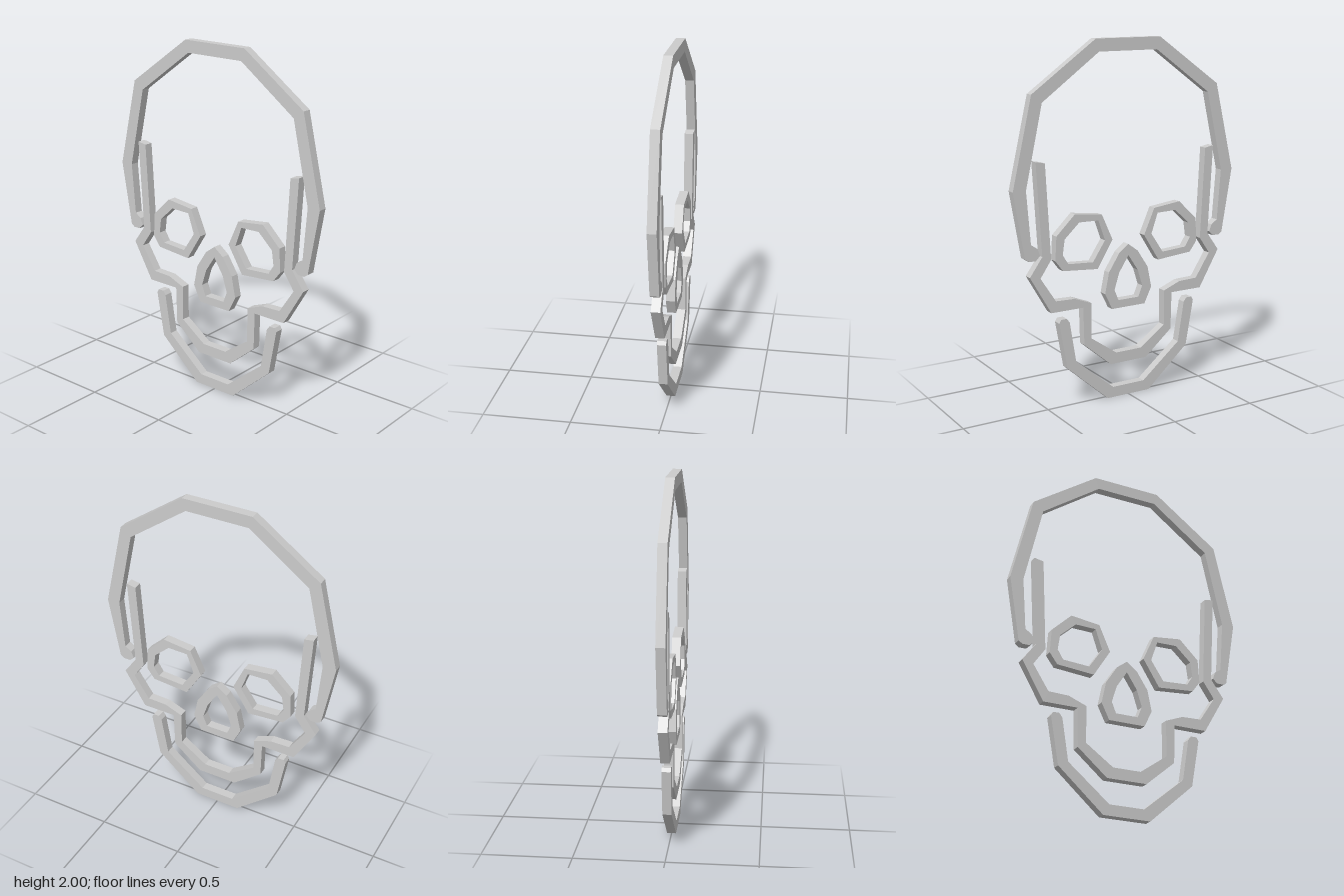
import * as THREE from 'three';

const DEPTH = 0.05;
const material = new THREE.MeshStandardMaterial({ color: 0xcccccc, flatShading: true });

const toPoints = (pairs) => pairs.map(([x, y]) => new THREE.Vector2(x, y));
const mirror = (pairs) => pairs.map(([x, y]) => [-x, y]).reverse();
const symmetric = (half) => [...half, ...mirror(half)];

// Flat plate of even thickness, centred on z = 0
function plate(name, outline, hole) {
  const shape = new THREE.Shape(toPoints(outline));
  if (hole) shape.holes.push(new THREE.Path(toPoints(hole)));
  const geometry = new THREE.ExtrudeGeometry(shape, { depth: DEPTH, bevelEnabled: false });
  geometry.translate(0, 0, -DEPTH / 2);
  const mesh = new THREE.Mesh(geometry, material);
  mesh.name = name;
  return mesh;
}

export function createModel() {
  const group = new THREE.Group();
  group.name = 'skullOutline';

  // Cranium arch: outer edge, hooked end, then back along the inner edge
  group.add(plate('cranium', symmetric([
    [0.2, 2], [0.58, 1.73], [0.695, 1.235], [0.632, 0.87],
    [0.61, 0.855], [0.57, 0.855], [0.545, 0.88], [0.56, 0.92], [0.597, 0.945],
    [0.62, 1.235], [0.52, 1.685], [0.18, 1.932],
  ])));

  // Temples, cheekbones and upper jaw in one continuous band
  group.add(plate('cheeksAndUpperJaw', symmetric([
    [0.115, 0.198], [0.283, 0.34], [0.288, 0.555], [0.483, 0.555],
    [0.607, 0.768], [0.532, 0.872], [0.562, 1.38],
    [0.508, 1.37], [0.48, 0.85], [0.545, 0.755], [0.455, 0.617],
    [0.34, 0.613], [0.237, 0.573], [0.237, 0.37], [0.08, 0.26],
  ])));

  // Lower jaw with rounded tips
  group.add(plate('lowerJaw', symmetric([
    [0.135, 0], [0.39, 0.225], [0.437, 0.488], [0.425, 0.508],
    [0.39, 0.508], [0.373, 0.485], [0.335, 0.253], [0.1, 0.06],
  ])));

  // Nose opening
  const noseOuter = [[0.105, 0.518], [0.15, 0.61], [0.125, 0.73], [0.06, 0.83]];
  const noseInner = [[0.065, 0.563], [0.09, 0.625], [0.06, 0.72]];
  group.add(plate('nose',
    [...noseOuter, [0, 0.875], ...mirror(noseOuter)],
    [...noseInner, [0, 0.812], ...mirror(noseInner)]));

  // Eye sockets
  const eyeOuter = [[0.335, 1.08], [0.168, 1.06], [0.102, 0.913], [0.197, 0.76],
    [0.41, 0.778], [0.455, 0.838], [0.447, 0.972]];
  const eyeInner = [[0.308, 1.033], [0.19, 1.03], [0.15, 0.915], [0.225, 0.802],
    [0.377, 0.812], [0.41, 0.865], [0.398, 0.95]];
  group.add(plate('leftEye', eyeOuter, eyeInner));
  group.add(plate('rightEye', mirror(eyeOuter), mirror(eyeInner)));

  return group;
}
